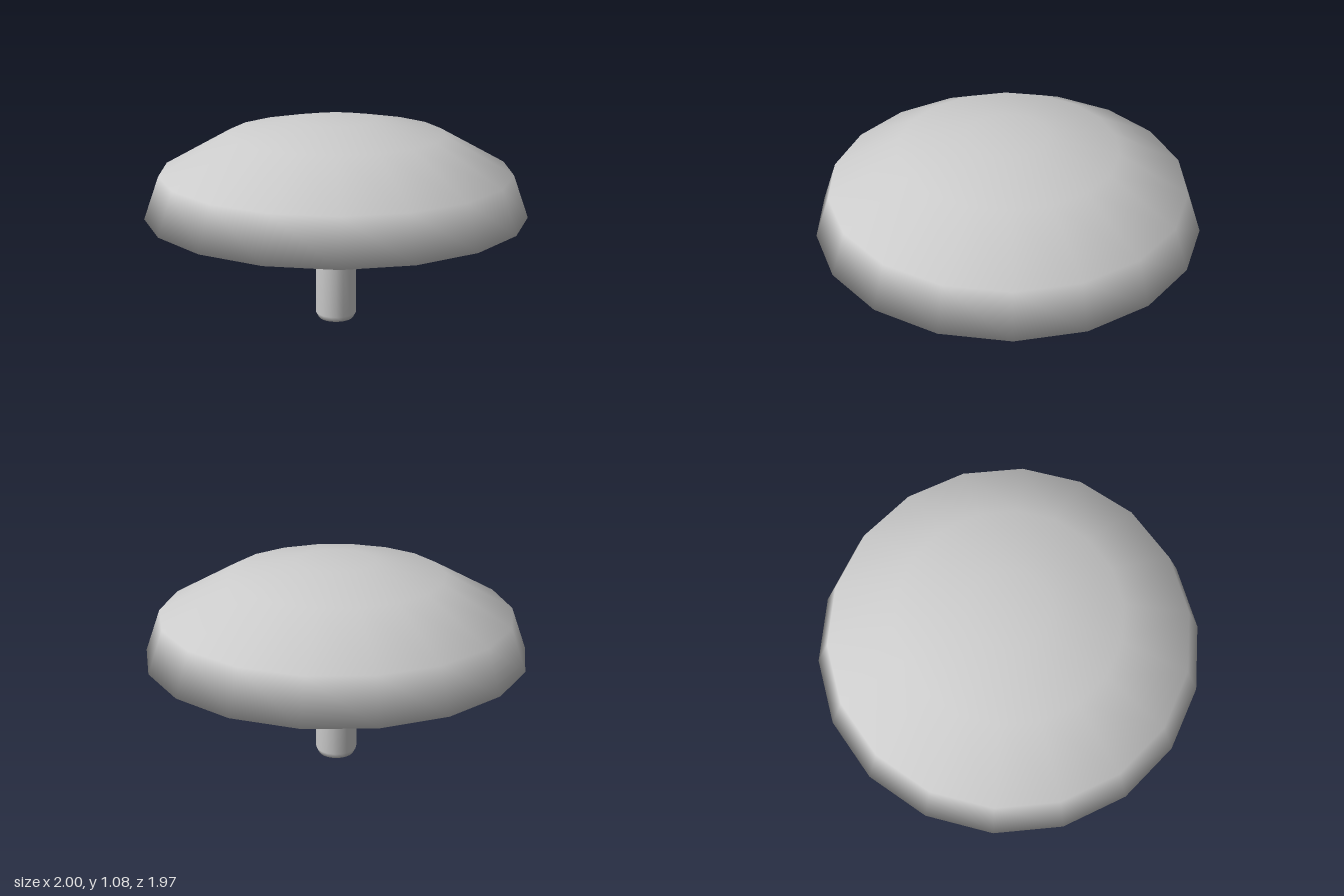
import * as THREE from 'three';

const SIDES = 18;

// Revolve a [radius, height] profile, listed from the bottom of the solid to its top
function turned(name, profile, material) {
  const points = profile.map(([r, y]) => new THREE.Vector2(r, y));
  const geometry = new THREE.LatheGeometry(points, SIDES, Math.PI / 2);
  const mesh = new THREE.Mesh(geometry, material);
  mesh.name = name;
  return mesh;
}

export function createModel() {
  const group = new THREE.Group();
  group.name = 'mushroom';
  const material = new THREE.MeshStandardMaterial({ color: 0xcccccc });

  // Stem with a rounded foot, flaring out into the hollow of the cap
  group.add(turned('stem', [
    [0, 0], [0.095, 0], [0.11, 0.03], [0.11, 0.31], [0.11, 0.35],
    [0.24, 0.52], [0.36, 0.88],
  ], material));

  // Cap: conical underside, shallow lip, sloping rim and low dome
  group.add(turned('cap', [
    [0.36, 0.88], [0.77, 0.64], [1, 0.6],
    [0.92, 0.82], [0.565, 1.015], [0.21, 1.083], [0, 1.083],
  ], material));

  return group;
}
